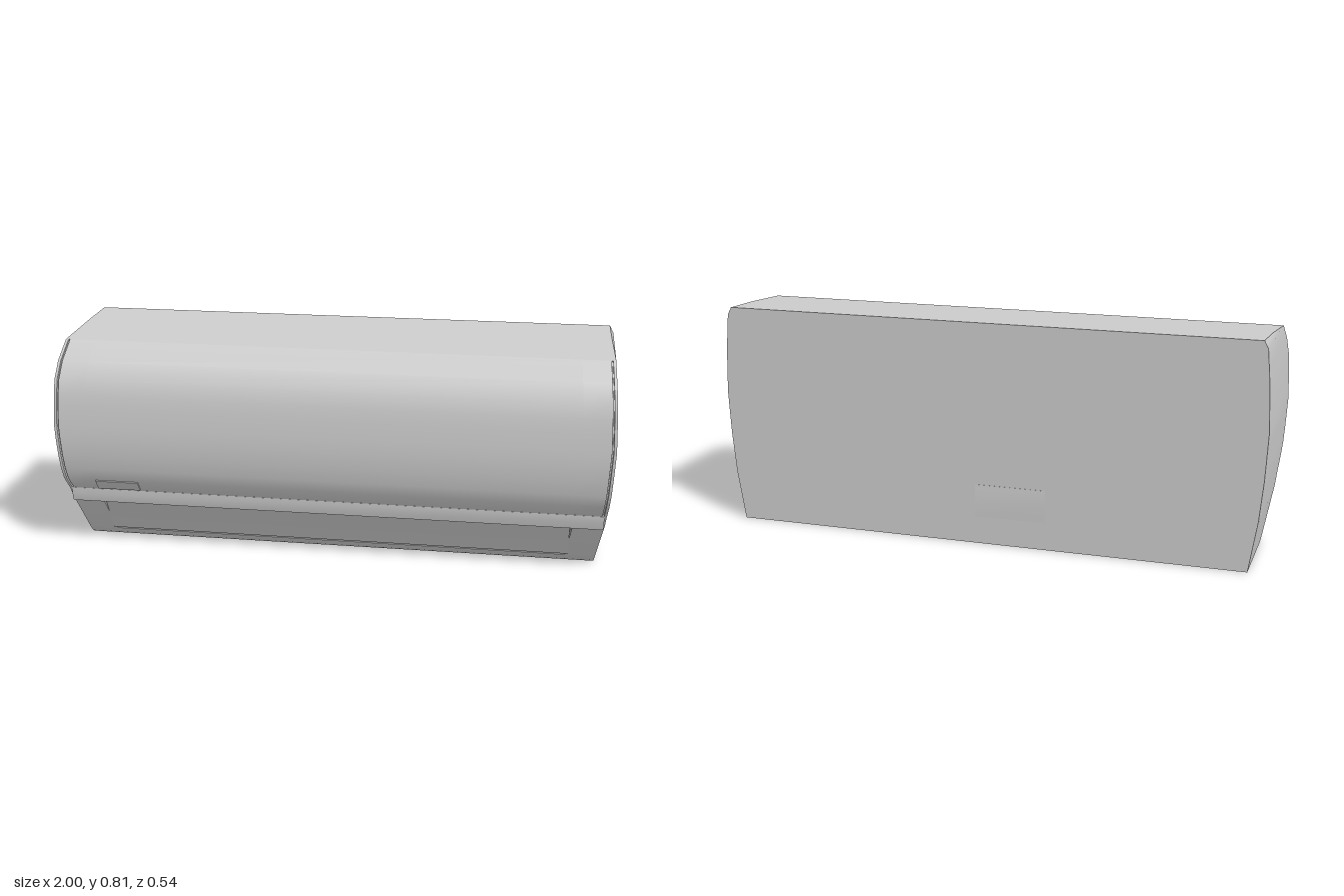
import * as THREE from 'three';
import { toCreasedNormals } from 'three/addons/utils/BufferGeometryUtils.js';

const BACK = -0.268;

// Front outline of the casing as [z, y], from the bottom edge to the top back edge
const PROFILE = [
  [0.05, 0], [0.062, 0.008], [0.078, 0.03], [0.081, 0.034], [0.168, 0.178], [0.171, 0.183],
  [0.197, 0.23], [0.203, 0.236], [0.238, 0.28], [0.253, 0.325], [0.265, 0.38], [0.271, 0.44],
  [0.272, 0.49], [0.269, 0.56], [0.265, 0.605], [0.254, 0.66], [0.22, 0.72], [0.147, 0.775],
  [0.14, 0.78], [-0.1, 0.799], [BACK, 0.807],
];

// Half width at a given height: narrow foot, bulging middle, bevelled top
const WIDTHS = [[0, 0.947], [0.18, 0.976], [0.33, 0.99], [0.49, 0.998], [0.65, 0.993], [0.78, 0.982], [0.807, 0.968]];
function halfWidth(y) {
  const i = Math.max(1, WIDTHS.findIndex(w => w[0] >= y));
  const [a, b] = [WIDTHS[i - 1], WIDTHS[i]];
  return THREE.MathUtils.mapLinear(y, a[0], b[0], a[1], b[1]);
}

// How far the front is pushed in: air outlet recess and seams beside the front panel
function inset(u, y) {
  const a = Math.abs(u);
  if (y > 0.032 && y < 0.18) return a < 0.885 ? 0.025 : 0;
  if (y > 0.235 && y < 0.777) return a > 0.9845 && a < 0.9895 ? 0.01 : 0;
  return 0;
}

function casingGeometry() {
  const half = [0.884, 0.886, 0.984, 0.985, 0.989, 0.99, 1];
  const stations = [...half.map(u => -u).reverse(), ...half];
  const front = (u, [z, y]) => new THREE.Vector3(u * halfWidth(y), y, z - inset(u, y));
  const back = (u, [, y]) => new THREE.Vector3(u * halfWidth(y), y, BACK);
  const points = [];
  const tri = (a, b, c) => {
    if (new THREE.Triangle(a, b, c).getArea() > 1e-9) points.push(a, b, c);
  };
  const quad = (a, b, c, d) => { tri(a, b, c); tri(a, c, d); };

  for (let i = 0; i < PROFILE.length - 1; i++) {
    const p = PROFILE[i], q = PROFILE[i + 1];
    for (let j = 0; j < stations.length - 1; j++) {
      const u = stations[j], v = stations[j + 1];
      quad(front(u, p), front(v, p), front(v, q), front(u, q));
    }
    quad(back(1, p), back(-1, p), back(-1, q), back(1, q));
    quad(front(1, p), back(1, p), back(1, q), front(1, q));
    quad(back(-1, p), front(-1, p), front(-1, q), back(-1, q));
  }
  // Underside
  const foot = PROFILE[0];
  quad(back(-1, foot), back(1, foot), front(1, foot), front(-1, foot));
  const geometry = new THREE.BufferGeometry().setFromPoints(points);
  return toCreasedNormals(geometry, 0.5);
}

// Bar along x with a [z, y] cross-section
function barGeometry(section, length) {
  const shape = new THREE.Shape(section.map(([z, y]) => new THREE.Vector2(z, y)));
  const geometry = new THREE.ExtrudeGeometry(shape, { depth: length, bevelEnabled: false });
  geometry.translate(0, 0, -length / 2).rotateY(-Math.PI / 2);
  return toCreasedNormals(geometry, 0.5);
}

export function createModel() {
  const group = new THREE.Group();
  const plastic = new THREE.MeshStandardMaterial({ color: 0xcccccc });
  plastic.name = 'light grey plastic';

  const add = (name, geometry) => {
    const mesh = new THREE.Mesh(geometry, plastic);
    mesh.name = name;
    group.add(mesh);
    return mesh;
  };

  add('casing', casingGeometry());

  // Lip hanging over the air outlet
  add('outletLip', barGeometry([[0.15, 0.176], [0.187, 0.176], [0.196, 0.205], [0.198, 0.23], [0.18, 0.23]], 1.945));

  // Closed louvre flap sitting in the outlet recess
  add('louvreFlap', barGeometry(
    [[0.168, 0.176], [0.156, 0.176], [0.109, 0.106], [0.073, 0.046], [0.087, 0.037], [0.121, 0.098]], 1.71));

  // Display window on the lower left of the front panel
  const display = add('displayWindow', new THREE.BoxGeometry(0.16, 0.05, 0.008));
  display.position.set(-0.787, 0.257, 0.22);
  display.rotation.x = Math.atan2(0.035, 0.044);

  // Shallow raised pad on the back
  const pad = add('backPad', barGeometry(
    [[BACK + 0.004, 0.1], [BACK + 0.004, 0.22], [BACK - 0.001, 0.22], [BACK - 0.004, 0.17], [BACK - 0.001, 0.1]], 0.26));
  pad.position.x = -0.1;

  return group;
}
